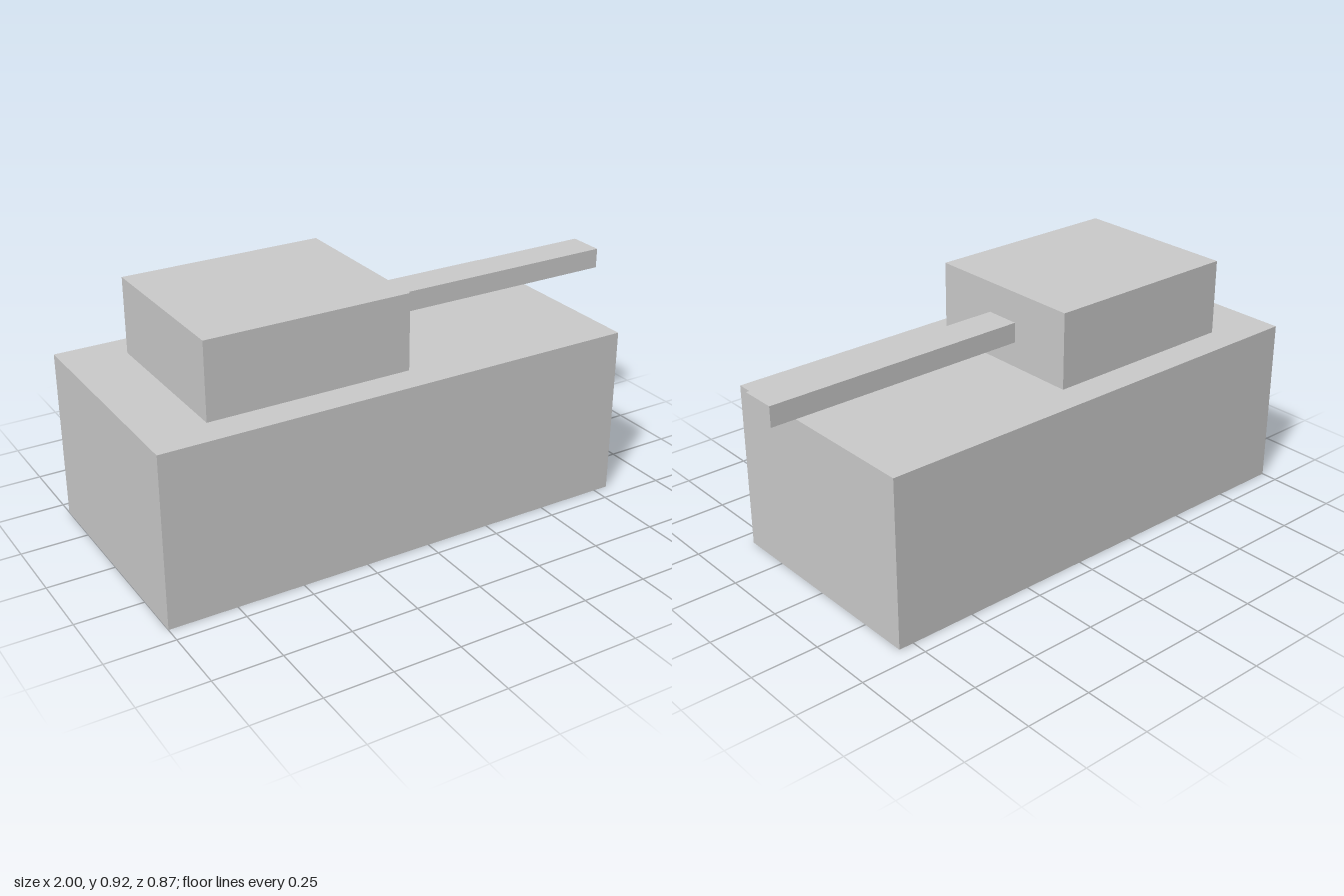
import * as THREE from 'three';

export function createModel() {
  const model = new THREE.Group();
  model.name = 'tank';
  const material = new THREE.MeshStandardMaterial({ color: 0xcccccc, flatShading: true });

  // Box spanning x0..x1 and y0..y1, centred on z = 0
  function addBox(name, x0, x1, y0, y1, depth) {
    const mesh = new THREE.Mesh(new THREE.BoxGeometry(x1 - x0, y1 - y0, depth), material);
    mesh.position.set((x0 + x1) / 2, (y0 + y1) / 2, 0);
    mesh.name = name;
    model.add(mesh);
  }

  addBox('hull', -1, 0.807, 0, 0.634, 0.874);
  addBox('turret', -0.775, -0.013, 0.634, 0.917, 0.635);
  addBox('gunBarrel', -0.013, 1, 0.728, 0.803, 0.134);

  return model;
}
